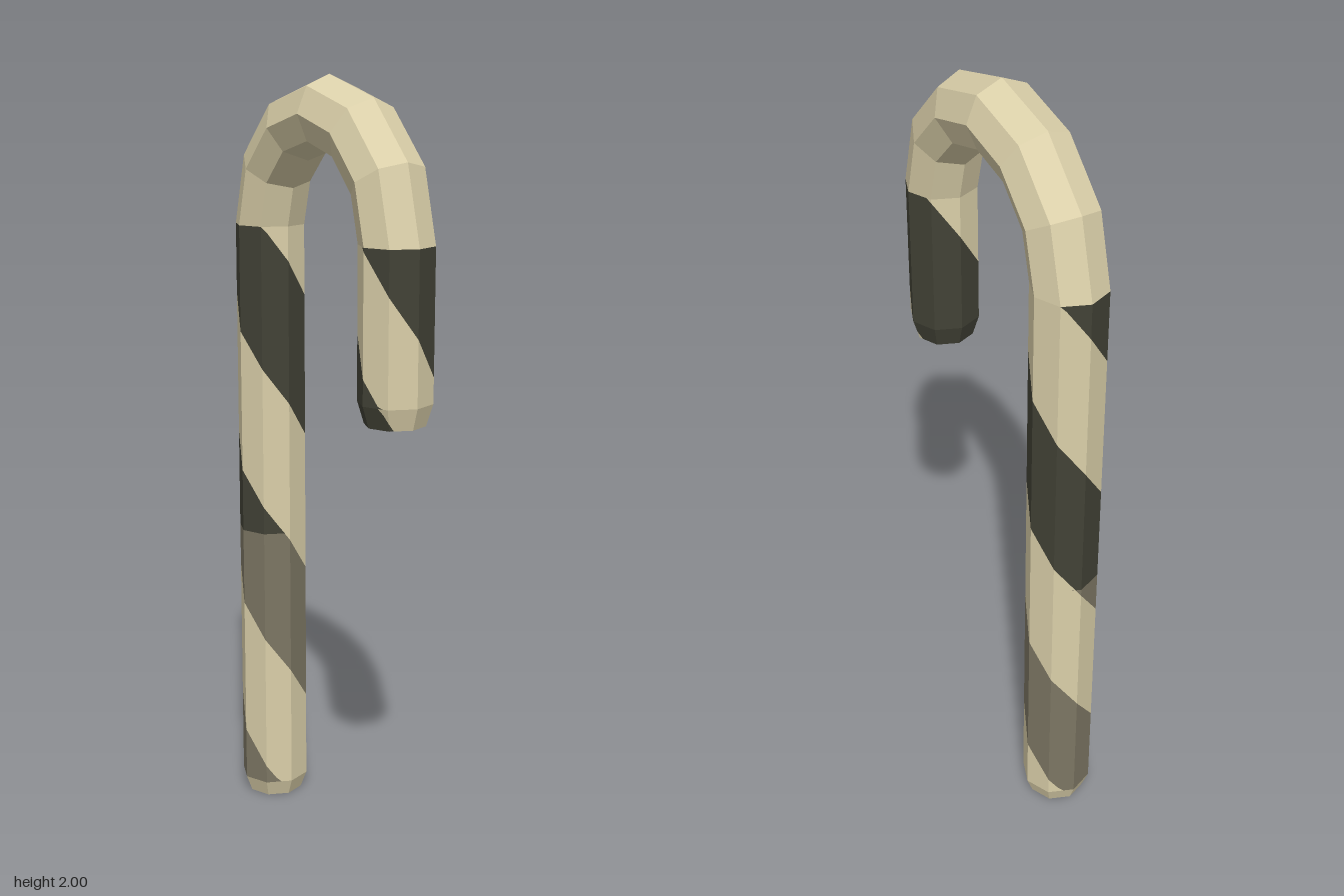
import * as THREE from 'three';

const SIDES = 8, R = 0.093, END_R = 0.076, BEND = 0.293, SPRING = 1.61, COLUMNS = 5;
const TAU = Math.PI * 2;

const mat = (name, color) => {
  const m = new THREE.MeshStandardMaterial({ color });
  m.name = name;
  return m;
};

// Eight-sided upright shaft section, cut along a helical stripe.
// Returns one flat-faced geometry for the stripe and one for the base.
function stripedSection(y0, y1, r0, r1, helix) {
  const out = { stripe: [], base: [] };
  const point = (t, y) => {
    const r = r0 + (r1 - r0) * (y - y0) / (y1 - y0);
    const i = Math.floor(t), f = t - i;
    const a = i * TAU / SIDES, b = (i + 1) * TAU / SIDES;
    return [r * (Math.cos(a) * (1 - f) + Math.cos(b) * f), y,
      r * (Math.sin(a) * (1 - f) + Math.sin(b) * f)];
  };
  const clamp = y => Math.min(y1, Math.max(y0, y));
  const quad = (list, tA, tB, lowA, lowB, highA, highB) => {
    [lowA, lowB, highA, highB] = [lowA, lowB, highA, highB].map(clamp);
    if (highA - lowA < 1e-5 && highB - lowB < 1e-5) return;
    const a = point(tB, lowB), b = point(tA, lowA), c = point(tA, highA), d = point(tB, highB);
    if (highA - lowA > 1e-5) list.push(...a, ...b, ...c);
    if (highB - lowB > 1e-5) list.push(...a, ...c, ...d);
  };
  for (let n = 0; n < SIDES * COLUMNS; n++) {
    const tA = n / COLUMNS, tB = (n + 1) / COLUMNS - 1e-7;
    for (let k = -4; k < 4; k++) {
      const a = helix.start + helix.pitch * (k + tA / SIDES);
      const b = helix.start + helix.pitch * (k + tB / SIDES);
      const w = helix.width, p = helix.pitch;
      quad(out.stripe, tA, tB, a, b, a + w, b + w);
      quad(out.base, tA, tB, a + w, b + w, a + p, b + p);
    }
  }
  const build = list => {
    const g = new THREE.BufferGeometry();
    g.setAttribute('position', new THREE.Float32BufferAttribute(list, 3));
    g.computeVertexNormals();
    return g;
  };
  return { stripe: build(out.stripe), base: build(out.base) };
}

export function createModel() {
  const cane = new THREE.Group();
  cane.name = 'hookedCane';
  const cream = mat('cream', 0xdacfa9);
  const dark = mat('darkOlive', 0x424236);
  const grey = mat('warmGrey', 0x7c7663);

  const add = (parent, name, geometry, material) => {
    if (!geometry.attributes.position.count) return;
    const mesh = new THREE.Mesh(geometry, material);
    mesh.name = name;
    parent.add(mesh);
  };
  const section = (parent, name, y0, y1, r0, r1, helix, stripeMaterial) => {
    const s = stripedSection(y0, y1, r0, r1, helix);
    add(parent, name + 'Base', s.base, cream);
    add(parent, name + 'Stripe', s.stripe, stripeMaterial);
  };
  const cap = (parent, name, y) => {
    const g = new THREE.CircleGeometry(END_R, SIDES).rotateX(Math.PI / 2).translate(0, y, 0);
    add(parent, name, g, cream);
  };

  // Long shaft: the stripe turns from grey to dark part of the way up
  const shaft = new THREE.Group();
  shaft.name = 'shaft';
  shaft.position.z = -BEND;
  const longHelix = { start: 0.19, pitch: 0.76, width: 0.38 };
  section(shaft, 'foot', 0, 0.045, END_R, R, longHelix, cream);
  section(shaft, 'lowerShaft', 0.045, 0.78, R, R, longHelix, grey);
  section(shaft, 'upperShaft', 0.78, SPRING, R, R, longHelix, dark);
  cap(shaft, 'footCap', 0);
  cane.add(shaft);

  // Short end of the hook
  const tip = new THREE.Group();
  tip.name = 'hookEnd';
  tip.position.z = BEND;
  const shortHelix = { start: 1.2, pitch: 0.8, width: 0.5 };
  section(tip, 'tipBevel', 1.18, 1.235, END_R, R, shortHelix, dark);
  section(tip, 'tip', 1.235, SPRING, R, R, shortHelix, dark);
  cap(tip, 'tipCap', 1.18);
  cane.add(tip);

  // Plain bend joining the two
  const bend = new THREE.TorusGeometry(BEND, R, SIDES, 6, Math.PI)
    .rotateY(Math.PI / 2).translate(0, SPRING, 0).toNonIndexed();
  bend.computeVertexNormals();
  add(cane, 'bend', bend, cream);

  return cane;
}
